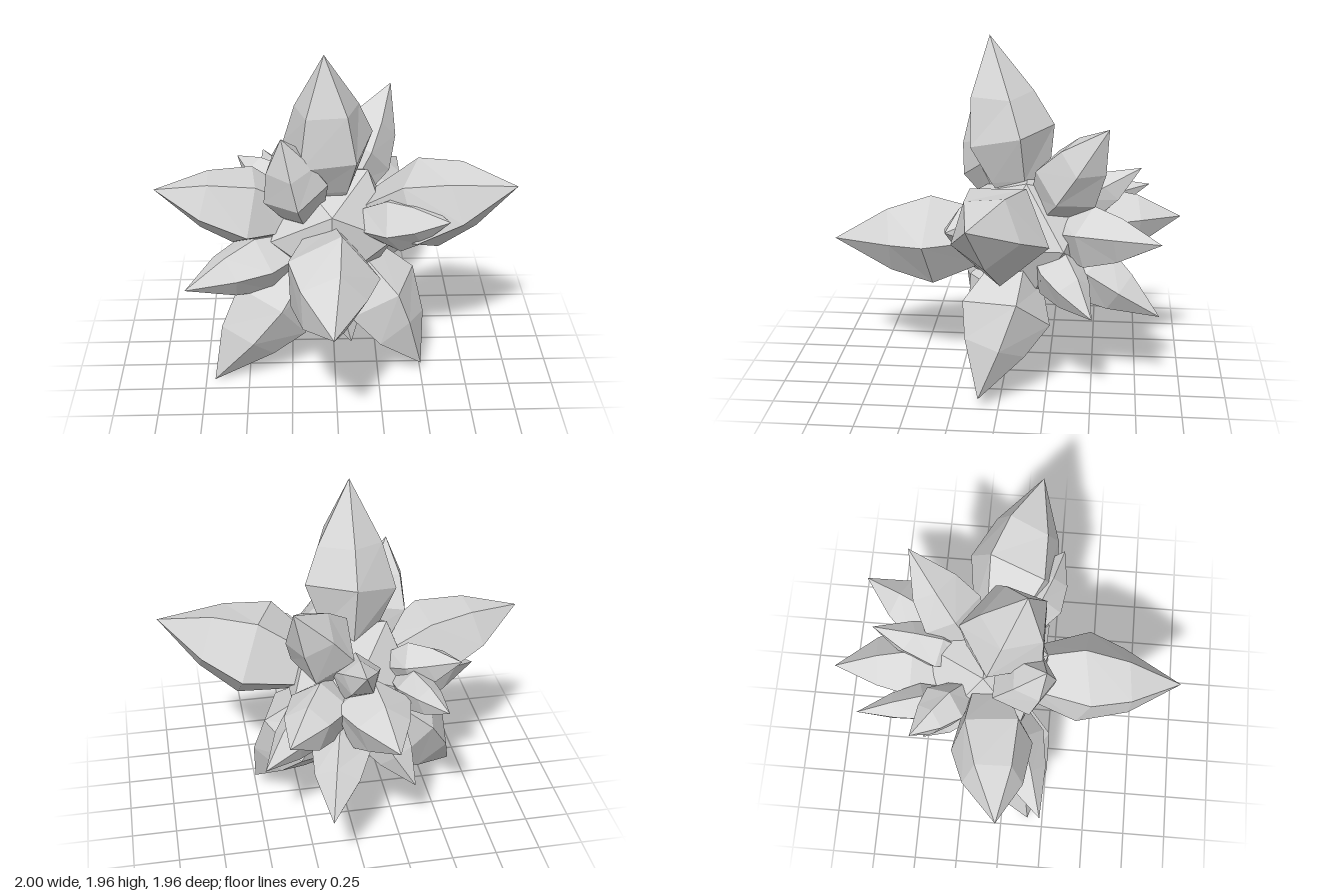
import * as THREE from 'three';

// Centre of the core and usual root of a crystal
const CENTRE = [-0.02, 0.86, -0.13];
const UP = [0, 1, 0];
const FRONT = [0, 0, 1];
const BACK = [0, 0, -1];

// name, tip position, shoulder radius, direction of the first corner, root if off centre
const LARGE = [
  ['topCrystal', [-0.06, 1.96, 0.09], 0.26, BACK],
  ['leftCrystal', [1, 1.2, 0.11], 0.275, [0, -0.4, 1]],
  ['rightCrystal', [-1, 1.155, 0], 0.24, [0, 0.81, 0.59]],
  ['lowerRightCrystal', [-0.7, 0, 0.16], 0.26, FRONT],
  ['lowerLeftCrystal', [0.5, 0.06, 0.11], 0.26, BACK],
  ['frontCrystal', [-0.03, 0.78, 0.98], 0.265, [0.25, 0.97, 0], [-0.05, 0.84, -0.13]],
];
const SMALL = [
  ['sideRightCrystal', [-0.84, 0.64, 0.23], 0.18, FRONT, [-0.02, 0.8, -0.13]],
  ['upperRightCrystal', [-0.29, 1.54, 0.21], 0.19, FRONT, [-0.15, 0.86, -0.05]],
  ['upperBackCrystal', [0.34, 1.55, -0.57], 0.195, [1, 0, 0]],
  ['sideLeftCrystal', [0.62, 1.06, 0.26], 0.17, FRONT, [0.05, 0.92, -0.05]],
  ['lowerSideCrystal', [0.5, 0.55, -0.5], 0.15, UP],
  ['bottomCrystal', [0.09, 0.26, 0.18], 0.16, FRONT, [-0.04, 0.82, -0.08]],
  ['backCrystal', [-0.13, 0.935, -0.98], 0.21, UP],
  ['backLowCrystal', [0.19, 0.45, -0.87], 0.18, UP],
  ['backLeftCrystal', [0.41, 0.95, -0.86], 0.18, UP],
  ['backRightCrystal', [-0.42, 1.03, -0.81], 0.11, UP, [-0.22, 0.9, -0.15]],
  ['backHighCrystal', [0, 1.25, -0.75], 0.135, UP],
  ['backSideCrystal', [-0.56, 1.13, -0.5], 0.135, UP, [-0.15, 0.95, -0.18]],
  ['backBottomCrystal', [-0.335, 0.34, -0.5], 0.15, BACK],
];

// Rings along a crystal: fraction of its length, fraction of its radius
const RINGS = [[0.27, 0.64], [0.5, 1], [0.72, 0.71]];
const SIDES = 5;

function seeded(seed) {
  let s = seed;
  return () => {
    s = (s * 16807) % 2147483647;
    return s / 2147483647;
  };
}

// Five-sided pointed crystal, slightly uneven at each corner
function crystalGeometry(root, tip, radius, hint, random) {
  const axis = tip.clone().sub(root);
  const dir = axis.clone().normalize();
  const u = hint.clone().addScaledVector(dir, -hint.dot(dir)).normalize();
  const v = dir.clone().cross(u);
  const points = [];
  for (const [t, r] of RINGS) {
    for (let i = 0; i < SIDES; i++) {
      const a = (i / SIDES) * Math.PI * 2;
      const along = t + (random() - 0.5) * 0.06;
      const rad = radius * r * (1 + (random() - 0.5) * 0.08);
      points.push(root.clone().addScaledVector(axis, along)
        .addScaledVector(u, Math.cos(a) * rad)
        .addScaledVector(v, Math.sin(a) * rad));
    }
  }
  points.push(tip, root);
  const last = (RINGS.length - 1) * SIDES;
  const tipIndex = RINGS.length * SIDES;
  const index = [];
  for (let i = 0; i < SIDES; i++) {
    const j = (i + 1) % SIDES;
    index.push(tipIndex + 1, j, i);
    for (let k = 0; k < last; k += SIDES) {
      index.push(k + i, k + j, k + SIDES + j, k + i, k + SIDES + j, k + SIDES + i);
    }
    index.push(last + i, last + j, tipIndex);
  }
  const indexed = new THREE.BufferGeometry().setFromPoints(points);
  indexed.setIndex(index);
  const geometry = indexed.toNonIndexed();
  geometry.computeVertexNormals();
  return geometry;
}

export function createModel() {
  const group = new THREE.Group();
  group.name = 'crystalCluster';
  const stone = new THREE.MeshStandardMaterial({ color: 0xd6d6d6, flatShading: true });
  stone.name = 'pale grey stone';
  const random = seeded(41);

  // Faceted core
  const core = new THREE.Mesh(new THREE.IcosahedronGeometry(0.4, 0), stone);
  core.name = 'core';
  core.position.set(...CENTRE);
  group.add(core);

  // Crystals growing out of the core
  for (const crystals of [LARGE, SMALL]) {
    for (const [name, tip, radius, hint, root = CENTRE] of crystals) {
      const geometry = crystalGeometry(new THREE.Vector3(...root),
        new THREE.Vector3(...tip), radius, new THREE.Vector3(...hint), random);
      const crystal = new THREE.Mesh(geometry, stone);
      crystal.name = name;
      group.add(crystal);
    }
  }
  return group;
}
